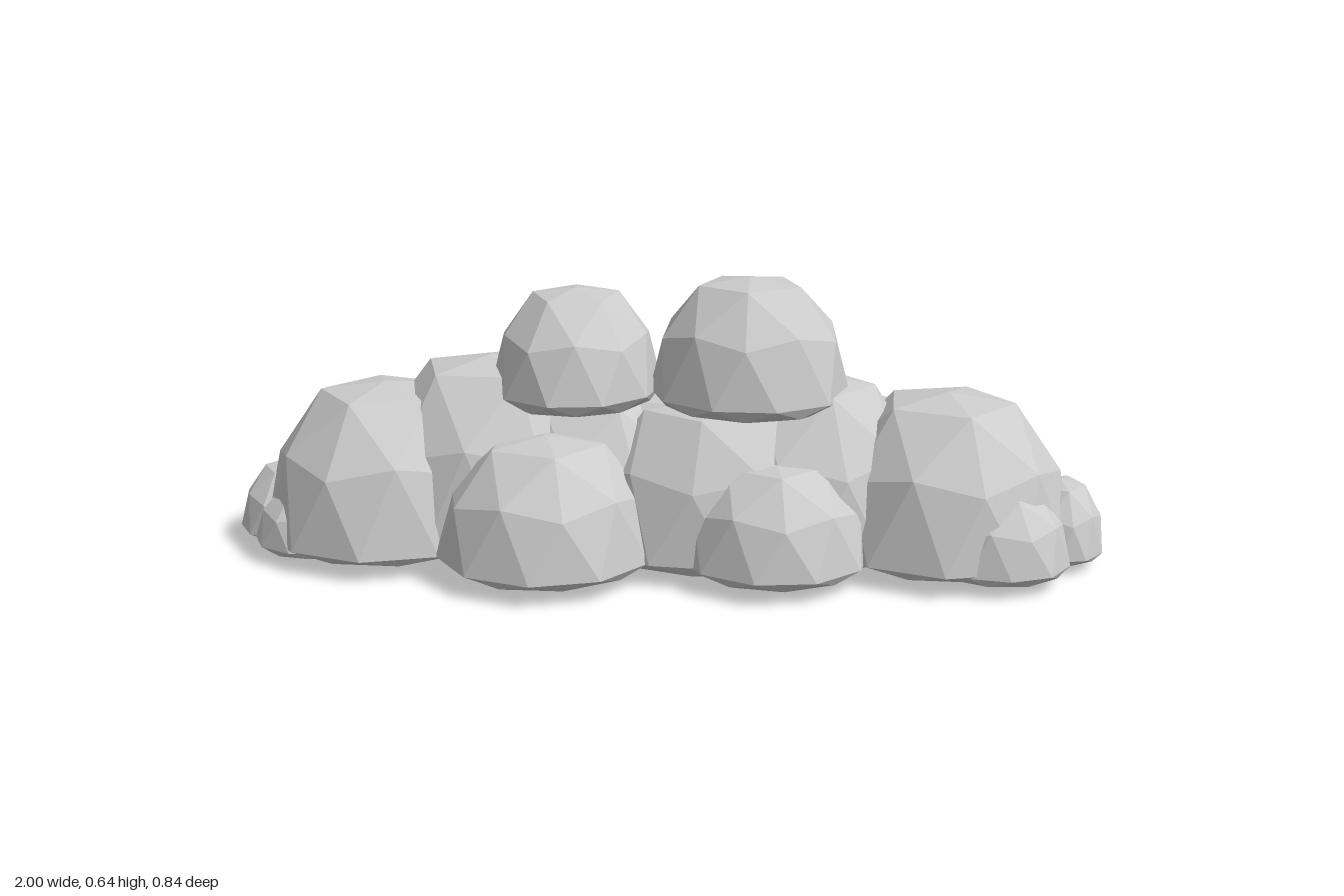
import * as THREE from 'three';

// One faceted dome: tall above its base line, shallow below it
function puffGeometry(rx, rz, base, top, bottom, yaw) {
  const geo = new THREE.IcosahedronGeometry(1, 1);
  geo.rotateX(-Math.atan((1 + Math.sqrt(5)) / 2)); // vertex at the pole, clean equator
  geo.rotateY(yaw);
  const p = geo.attributes.position;
  for (let i = 0; i < p.count; i++) {
    const y = p.getY(i);
    const up = Math.min(1, y * 1.1);
    p.setXYZ(i, p.getX(i) * rx,
      y > 0.001 ? base + up * (top - base) : base + Math.min(0, y) * (base - bottom),
      p.getZ(i) * rz);
  }
  geo.computeVertexNormals();
  return geo;
}

export function createModel() {
  const cloud = new THREE.Group();
  cloud.name = 'cloud';
  const grey = new THREE.MeshStandardMaterial({ color: 0xcccccc, flatShading: true });
  grey.name = 'cloudGrey';

  // name, x, z, rx, rz, top, base, bottom, yaw
  const puffs = [
    ['upperLeftPuff', 0.195, 0, 0.225, 0.215, 0.645, 0.385, 0.33, 0],
    ['upperRightPuff', -0.2, -0.015, 0.195, 0.222, 0.61, 0.385, 0.33, 0.77],
    ['leftPuff', 0.64, -0.005, 0.285, 0.29, 0.39, 0.05, 0.004, 1.54],
    ['rightPuff', -0.64, 0.01, 0.285, 0.29, 0.39, 0.05, 0.004, 2.2],
    ['innerRightPuff', -0.4, -0.025, 0.31, 0.28, 0.45, 0.05, 0.004, 3.08],
    ['backRightPuff', -0.41, -0.11, 0.31, 0.29, 0.385, 0.05, 0.004, 3.08],
    ['backMiddlePuff', 0, -0.1, 0.38, 0.32, 0.38, 0.05, 0, 0.314],
    ['backLeftPuff', 0.48, -0.12, 0.27, 0.25, 0.34, 0.05, 0.004, 4.62],
    ['innerLeftPuff', 0.33, -0.03, 0.28, 0.27, 0.42, 0.05, 0, 5.39],
    ['middlePuff', 0.12, 0.06, 0.3, 0.22, 0.375, 0.05, 0, 6.16],
    ['corePuff', -0.16, -0.01, 0.28, 0.24, 0.38, 0.05, 0, 0.5],
    ['frontRightPuff', -0.245, 0.16, 0.25, 0.26, 0.312, 0.05, 0.004, 0.314],
    ['frontLeftPuff', 0.26, 0.15, 0.215, 0.215, 0.27, 0.05, 0.004, 1.42],
    ['leftTipPuff', 0.9, -0.02, 0.102, 0.13, 0.19, 0.035, 0.008, 0.2],
    ['leftCornerPuff', 0.75, 0.13, 0.16, 0.15, 0.21, 0.045, 0.006, 2.96],
    ['rightTipPuff', -0.88, -0.03, 0.122, 0.145, 0.18, 0.035, 0.008, 0.93],
    ['rightCornerPuff', -0.79, 0.1, 0.14, 0.13, 0.17, 0.04, 0.006, 4.5],
  ];
  for (const [name, x, z, rx, rz, top, base, bottom, yaw] of puffs) {
    const mesh = new THREE.Mesh(puffGeometry(rx, rz, base, top, bottom, yaw), grey);
    mesh.name = name;
    mesh.position.set(x, 0, z);
    cloud.add(mesh);
  }
  return cloud;
}
